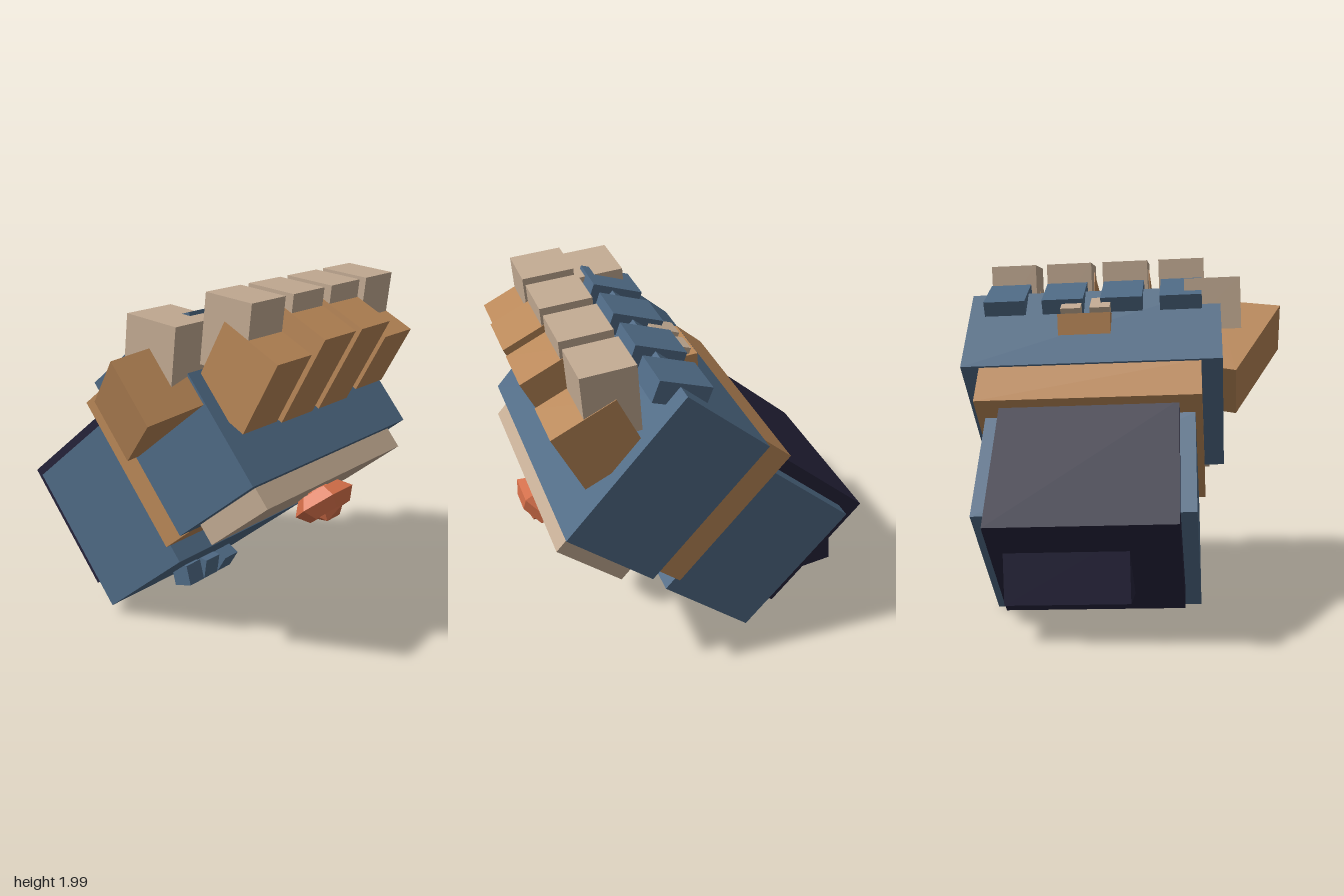
import * as THREE from 'three';

const mat = (name, color, flat = true) => {
  const m = new THREE.MeshStandardMaterial({ color, flatShading: flat });
  m.name = name;
  return m;
};

export function createModel() {
  const blue = mat('steelBlue', 0x4f6a85);
  const bronze = mat('bronze', 0xb98757);
  const cream = mat('cream', 0xc2aa92);
  const dark = mat('darkNavy', 0x25233a);
  const red = mat('coral', 0xd56f49);

  const root = new THREE.Group();
  root.name = 'gauntlet';

  // Hand frame: x across the knuckles, y out of the back of the hand, z towards the fingers
  const hand = new THREE.Group();
  hand.name = 'hand';
  const across = new THREE.Vector3(0.995, -0.041, -0.0896).normalize();
  const back = new THREE.Vector3(-0.0285, 0.75, -0.661);
  back.addScaledVector(across, -back.dot(across)).normalize();
  const along = new THREE.Vector3().crossVectors(across, back);
  hand.quaternion.setFromRotationMatrix(new THREE.Matrix4().makeBasis(across, back, along));
  root.add(hand);

  const add = (name, geo, material, pos = [0, 0, 0], tilt = 0) => {
    const mesh = new THREE.Mesh(geo, material);
    mesh.name = name;
    mesh.position.set(...pos);
    mesh.rotation.x = THREE.MathUtils.degToRad(tilt);
    hand.add(mesh);
    return mesh;
  };
  const box = (name, material, size, pos, tilt) =>
    add(name, new THREE.BoxGeometry(...size), material, pos, tilt);

  // Palm, wrist and forearm
  box('palm', blue, [1.457, 0.922, 0.59], [0.0615, 0.716, 1.0985]);
  box('wristBand', bronze, [1.237, 0.907, 0.26], [0.0685, 0.712, 0.682]);
  box('forearm', blue, [1.154, 0.875, 0.667], [0.066, 0.594, 0.2125]);
  box('forearmCore', dark, [0.984, 0.781, 0.82], [0.065, 0.7135, 0.165]);
  box('rearSpur', dark, [0.65, 0.36, 0.36], [0.16, 0.687, -0.19], 48);

  // Palm pad with its faceted gem
  box('palmPad', cream, [1.28, 0.15, 0.443], [0.06, 0.21, 1.1065]);
  const ring = new THREE.TorusGeometry(0.135, 0.06, 4, 6);
  ring.rotateX(Math.PI / 2);
  ring.scale(1, 1.1, 0.87);
  add('gemRing', ring, red, [0.068, 0.06, 1.15]);
  add('gem', new THREE.IcosahedronGeometry(0.115, 0), red, [0.068, 0.055, 1.15]);

  // Four curled fingers: knuckle plate, middle joint and fingertip
  const tips = [[0.417, 0.01], [0.517, 0.035], [0.517, 0.035], [0.356, 0]];
  tips.forEach(([length, shift], i) => {
    const x = -0.442 + i * 0.34;
    box('knucklePlate', blue, [0.24, 0.12, 0.287], [x, 1.148, 1.351], 22);
    box('fingerJoint', cream, [0.272, 0.274, 0.36], [x, 0.939, 1.639], -45);
    box('fingertip', bronze, [0.28, 0.353, length],
      [x, 0.742 + shift * 0.39, 1.545 + shift * 0.92], -23);
  });

  // Thumb: slanted base block and upper joint
  const outline = new THREE.Shape([
    [-1.013, 1.317], [-0.65, 1.385], [-0.5, 1.38], [-0.45, 0.88], [-0.739, 0.808],
  ].map(([x, y]) => new THREE.Vector2(x, y)));
  const thumb = new THREE.ExtrudeGeometry(outline, { depth: 0.357, bevelEnabled: false });
  thumb.rotateX(Math.PI / 2);
  add('thumbBase', thumb, bronze, [0, 1.074, 0]);
  box('thumbJoint', cream, [0.32, 0.31, 0.3], [-0.622, 1.066, 1.352], -45);

  // Small latch on the back of the hand
  box('latchBase', bronze, [0.3, 0.12, 0.14], [0.106, 1.17, 1.107], -45);
  for (const x of [0.018, 0.185]) {
    box('latchTab', cream, [0.115, 0.08, 0.16], [x, 1.196, 1.215], 22);
  }

  // Three studs under the forearm, each turned further than the last
  [[-0.06, 0.115, 0.095, 24], [0.127, 0.124, 0.07, 47], [0.31, 0.12, 0.05, 70]].forEach(([x, y, z, tilt]) =>
    box('stud', blue, [0.125, 0.12, 0.12], [x, y, z], tilt));

  return root;
}
